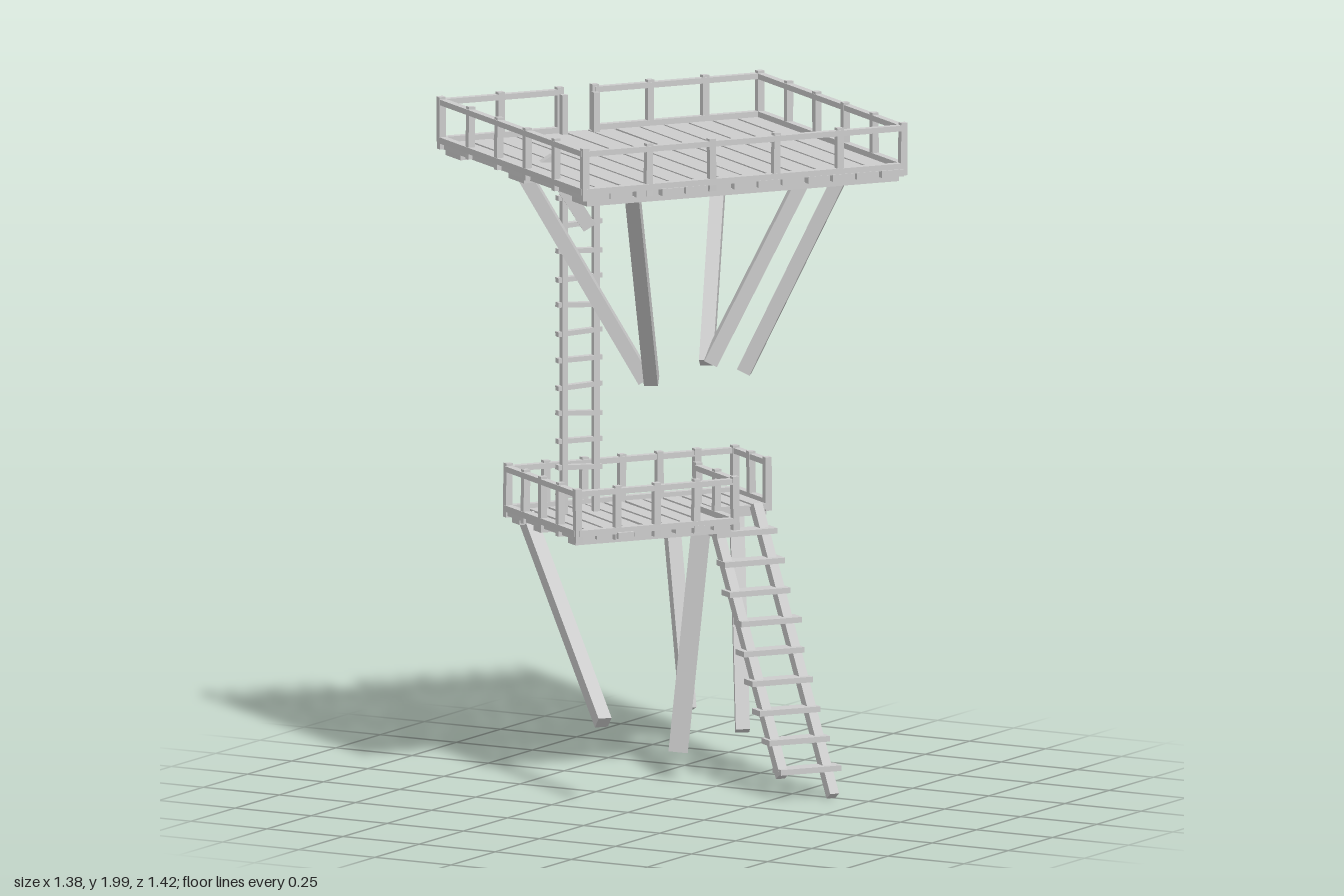
import * as THREE from 'three';

const material = new THREE.MeshStandardMaterial({ color: 0xcccccc, flatShading: true });
const V = (p) => new THREE.Vector3(...p);

// small repeatable irregularity for the hand-built timber
let seed = 7;
const jitter = (a) => {
  seed = (seed * 16807) % 2147483647;
  return (seed / 2147483647 - 0.5) * 2 * a;
};

// square-cut timber from p to q
function beam(parent, name, p, q, w, h = w) {
  const a = V(p), b = V(q), dir = b.clone().sub(a);
  const mesh = new THREE.Mesh(new THREE.BoxGeometry(w, h, dir.length()), material);
  const steep = Math.abs(dir.y) > 0.99 * dir.length();
  const up = steep ? new THREE.Vector3(0, 0, 1) : new THREE.Vector3(0, 1, 0);
  mesh.quaternion.setFromRotationMatrix(new THREE.Matrix4().lookAt(b, a, up));
  mesh.position.copy(a).add(b).multiplyScalar(0.5);
  mesh.name = name;
  parent.add(mesh);
  return mesh;
}

function group(parent, name) {
  const g = new THREE.Group();
  g.name = name;
  parent.add(g);
  return g;
}

// railing along a floor path of [x, z] corners, with evenly spaced posts
function railing(parent, name, path, base, top, spacing) {
  const g = group(parent, name);
  for (let i = 0; i < path.length - 1; i++) {
    const [ax, az] = path[i], [bx, bz] = path[i + 1];
    const n = Math.max(1, Math.round(Math.hypot(bx - ax, bz - az) / spacing));
    beam(g, 'handRail', [ax, top - 0.015, az], [bx, top - 0.015, bz], 0.022, 0.016);
    beam(g, 'bottomRail', [ax, base + 0.006, az], [bx, base + 0.006, bz], 0.022, 0.018);
    for (let k = i ? 1 : 0; k <= n; k++) {
      const x = ax + (bx - ax) * k / n, z = az + (bz - az) * k / n;
      const lean = jitter(0.004);
      beam(g, 'railPost', [x, base - 0.02, z], [x + lean, top, z + lean], 0.02);
    }
  }
}

function createModel() {
  const model = new THREE.Group();
  model.name = 'treePlatforms';

  // decks, ladder and stair share one turned frame
  const frame = group(model, 'timberFrame');
  frame.rotation.y = -0.602;

  // upper deck
  const upper = group(frame, 'upperDeck');
  const planks = 13, pitch = 1.0 / planks;
  for (let i = 0; i < planks; i++) {
    const z = -0.5 + (i + 0.5) * pitch;
    const m = beam(upper, 'plank', [-0.485 + jitter(0.008), 1.851, z], [0.485 + jitter(0.008), 1.851, z], pitch - 0.008, 0.02);
    m.rotateY(jitter(0.004));
  }
  for (const x of [-0.42, 0, 0.42])
    beam(upper, 'underBeam', [x, 1.833, -0.49], [x, 1.833, 0.49], 0.1, 0.018);
  railing(upper, 'upperRailing',
    [[-0.475, 0.13], [-0.475, 0.5], [0.475, 0.5], [0.475, -0.5], [-0.475, -0.5], [-0.475, 0.02]],
    1.862, 1.993, 0.2);

  // lower L-shaped deck
  const lower = group(frame, 'lowerDeck');
  for (let i = 0; i < 12; i++) {
    const z = -0.445 + i * 0.0605;
    const right = z < -0.25 ? -0.35 : -0.1;
    const m = beam(lower, 'plank', [-0.585 + jitter(0.012), 0.758, z], [right + jitter(0.012), 0.758, z], 0.05, 0.018);
    m.rotateY(jitter(0.02));
  }
  for (const [x, z] of [[-0.53, -0.47], [-0.39, -0.47], [-0.16, -0.25]])
    beam(lower, 'underBeam', [x, 0.741, z], [x, 0.741, 0.24], 0.05, 0.018);
  railing(lower, 'lowerRailing',
    [[-0.36, -0.47], [-0.575, -0.47], [-0.575, 0.245], [-0.11, 0.245], [-0.11, -0.25], [-0.36, -0.25]],
    0.765, 0.9, 0.12);

  // upright ladder between the decks
  const ladder = group(frame, 'ladder');
  for (const z of [0.03, 0.13])
    beam(ladder, 'ladderRail', [-0.445, 0.765, z], [-0.445, 1.975, z], 0.018);
  for (let y = 0.82; y < 1.85; y += 0.078) {
    const t = jitter(0.004);
    beam(ladder, 'rung', [-0.448, y + t, 0.012], [-0.448, y - t, 0.15], 0.022, 0.014);
  }

  // sloping stair to the ground
  const stair = group(frame, 'stair');
  beam(stair, 'stringer', [-0.32, 0.77, -0.415], [0.19, 0.012, -0.415], 0.028, 0.03);
  beam(stair, 'stringer', [-0.32, 0.77, -0.275], [0.15, 0.072, -0.275], 0.028, 0.03);
  for (let i = 0; i < 9; i++) {
    const t = (i + 0.9) / 9.8, x = -0.32 + 0.51 * t, y = 0.775 - 0.758 * t;
    const e = jitter(0.012);
    beam(stair, 'tread', [x, y, -0.44 + e], [x, y, -0.25 + e], 0.055, 0.016);
  }

  // struts [top, bottom] that lean in towards the missing trunk
  const struts = [
    [[-0.44, 1.84, 0.14], [-0.1, 1.2, -0.02]],
    [[-0.26, 1.87, 0.27], [-0.16, 1.67, 0.195]],
    [[-0.14, 1.84, -0.52], [0.02, 1.24, -0.16]],
    [[0.13, 1.84, 0.45], [-0.05, 1.21, 0.03]],
    [[0.27, 1.84, -0.35], [0.03, 1.24, -0.16]],
    [[0.43, 1.84, -0.25], [0.155, 1.23, -0.14]],
    [[-0.56, 0.75, -0.14], [-0.11, 0.245, 0.2]],
    [[-0.31, 0.75, -0.52], [-0.175, 0.19, -0.39]],
    [[-0.15, 0.75, -0.43], [-0.155, 0.08, -0.3]],
    [[-0.19, 0.75, -0.69], [-0.045, 0.125, -0.475]],
  ];
  const braces = group(model, 'struts');
  for (const [top, bottom] of struts) beam(braces, 'strut', top, bottom, 0.04);

  return model;
}

export { createModel };
